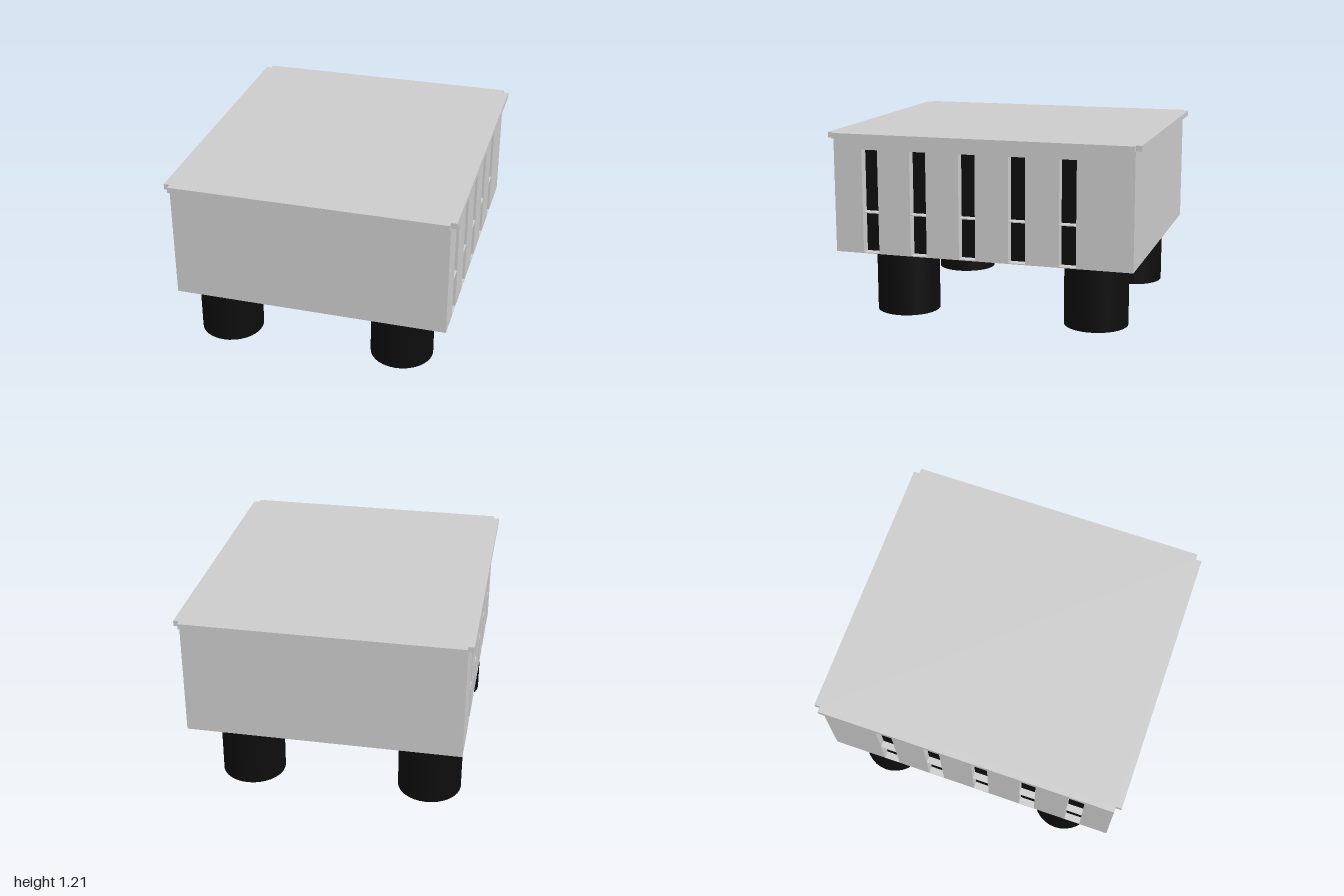
import * as THREE from 'three';

const grey = new THREE.MeshStandardMaterial({ color: 0xcccccc });
const black = new THREE.MeshStandardMaterial({ color: 0x0d0d0d });

const W = 0.87, D = 0.963;            // half width and depth of the body
const Y0 = 0.438, Y1 = 1.17, TOP = 1.205;
const FLOOR = 0.006;

function add(parent, name, geometry, material, x = 0, y = 0, z = 0) {
  const mesh = new THREE.Mesh(geometry, material);
  mesh.name = name;
  mesh.position.set(x, y, z);
  parent.add(mesh);
  return mesh;
}

function rectHole(x0, x1, y0, y1) {
  const path = new THREE.Path();
  path.moveTo(x0, y0).lineTo(x0, y1).lineTo(x1, y1).lineTo(x1, y0).closePath();
  return path;
}

// Side wall with five tall windows, each split by a thin shelf
function slottedWall(depth) {
  const s = new THREE.Shape();
  s.moveTo(-D, Y0).lineTo(D, Y0).lineTo(D, Y1).lineTo(-D, Y1).closePath();
  for (let i = 0; i < 5; i++) {
    const z = -0.558 + i * 0.32, h = 0.053;
    s.holes.push(rectHole(z - h, z + h, Y0 + FLOOR, 0.699));
    s.holes.push(rectHole(z - h, z + h, 0.705, 1.103));
  }
  return new THREE.ExtrudeGeometry(s, { depth, bevelEnabled: false }).rotateY(-Math.PI / 2);
}

// Roof slab: a rectangle with a small square notch at each corner
function roofSlab() {
  const X = 0.905, Z = 1, x = 0.868, z = 0.963;
  const pts = [[X, -z], [X, z], [x, z], [x, Z], [-x, Z], [-x, z], [-X, z], [-X, -z],
    [-x, -z], [-x, -Z], [x, -Z], [x, -z]];
  const s = new THREE.Shape(pts.map(([a, b]) => new THREE.Vector2(a, b)));
  return new THREE.ExtrudeGeometry(s, { depth: TOP - Y1, bevelEnabled: false }).rotateX(-Math.PI / 2);
}

export function createModel() {
  const model = new THREE.Group();
  model.name = 'buildingBlock';

  // Side walls, recessed to slightly different depths
  const rightDepth = 0.06, leftDepth = 0.045;
  add(model, 'rightWall', slottedWall(rightDepth), grey, W);
  add(model, 'leftWall', slottedWall(leftDepth), grey, -W + leftDepth);

  // Front and back walls between the side walls
  const innerW = 2 * W - rightDepth - leftDepth;
  const cx = (leftDepth - rightDepth) / 2;
  const H = Y1 - Y0, t = 0.05;
  for (const [name, s] of [['frontWall', 1], ['backWall', -1]]) {
    add(model, name, new THREE.BoxGeometry(innerW, H, t), grey, cx, Y0 + H / 2, s * (D - t / 2));
  }

  // Floor and the dark core seen through the windows
  add(model, 'floor', new THREE.BoxGeometry(innerW, FLOOR, 2 * (D - t)), grey, cx, Y0 + FLOOR / 2, 0);
  add(model, 'darkCore', new THREE.BoxGeometry(innerW, H - FLOOR, 2 * (D - t)), black,
    cx, Y0 + FLOOR + (H - FLOOR) / 2, 0);

  add(model, 'roof', roofSlab(), grey, 0, Y1, 0);

  // Four round legs, set slightly off centre
  const leg = new THREE.CylinderGeometry(0.205, 0.205, Y0, 32);
  for (const x of [-0.645, 0.525]) {
    for (const z of [0.612, -0.662]) {
      add(model, (z > 0 ? 'front' : 'back') + (x > 0 ? 'Left' : 'Right') + 'Leg', leg, black, x, Y0 / 2, z);
    }
  }
  return model;
}
